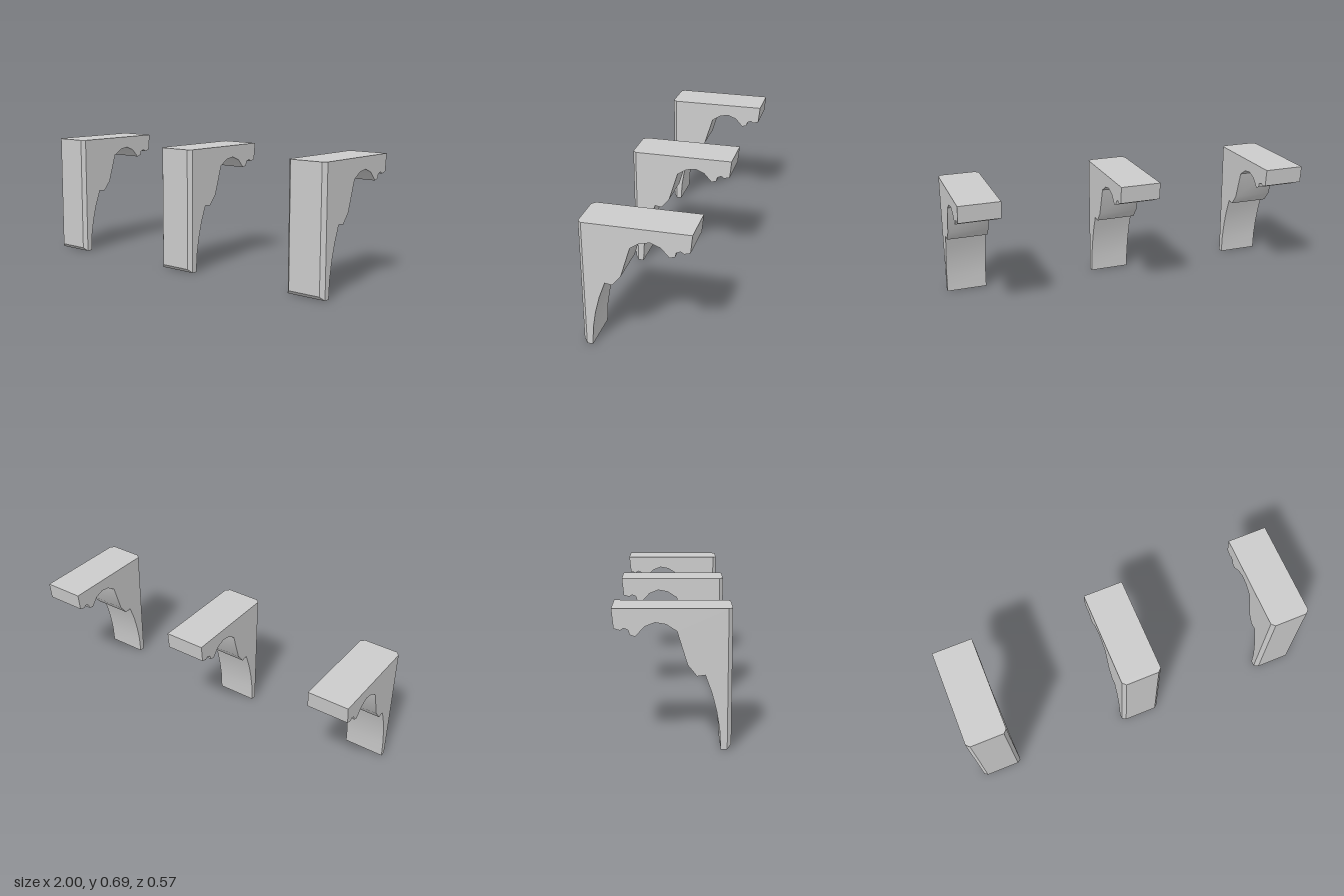
import * as THREE from 'three';
import { toCreasedNormals } from 'three/addons/utils/BufferGeometryUtils.js';

const HEIGHT = 0.69, WIDTH = 0.228, FRONT = 0.285, BEVEL = 0.02, SPACING = 0.886;

// Bracket side profile as [z, y], from the top front round the back to the foot
const PROFILE = [
  [FRONT - BEVEL, HEIGHT], [-0.285, HEIGHT], [-0.275, 0.595],
  [-0.244, 0.586], [-0.228, 0.597], [-0.206, 0.588], [-0.2, 0.565], [-0.173, 0.556],
  [-0.13, 0.604], [-0.08, 0.624], [-0.028, 0.615], [0.023, 0.582],
  [0.073, 0.42], [0.118, 0.364], [0.157, 0.37],
  [0.19, 0.28], [0.213, 0.19], [0.228, 0.1], [0.234, 0], [FRONT - BEVEL, 0],
];

// Scrolled body: the profile swept across the width
function bodyGeometry() {
  const shape = new THREE.Shape(PROFILE.map(([z, y]) => new THREE.Vector2(z, y)));
  const geo = new THREE.ExtrudeGeometry(shape, { depth: WIDTH, bevelEnabled: false });
  geo.translate(0, 0, -WIDTH / 2).rotateY(-Math.PI / 2);
  return toCreasedNormals(geo, Math.PI / 6);
}

// Front slab, bevelled on both sides and along the bottom
function frontGeometry() {
  const geo = new THREE.BoxGeometry(WIDTH, HEIGHT, BEVEL);
  geo.translate(0, HEIGHT / 2, FRONT - BEVEL / 2);
  const p = geo.attributes.position;
  for (let i = 0; i < p.count; i++) {
    if (p.getZ(i) < FRONT - BEVEL / 2) continue;
    p.setX(i, p.getX(i) - Math.sign(p.getX(i)) * BEVEL);
    if (p.getY(i) < HEIGHT / 2) p.setY(i, BEVEL);
  }
  geo.computeVertexNormals();
  return geo;
}

export function createModel() {
  const model = new THREE.Group();
  model.name = 'brackets';
  const material = new THREE.MeshStandardMaterial({ color: 0xcccccc });
  const parts = { body: bodyGeometry(), bevelledFront: frontGeometry() };

  // Three identical brackets in a row
  ['rightBracket', 'middleBracket', 'leftBracket'].forEach((name, i) => {
    const bracket = new THREE.Group();
    bracket.name = name;
    bracket.position.x = (i - 1) * SPACING;
    for (const [part, geo] of Object.entries(parts)) {
      const mesh = new THREE.Mesh(geo, material);
      mesh.name = part;
      bracket.add(mesh);
    }
    model.add(bracket);
  });
  return model;
}
